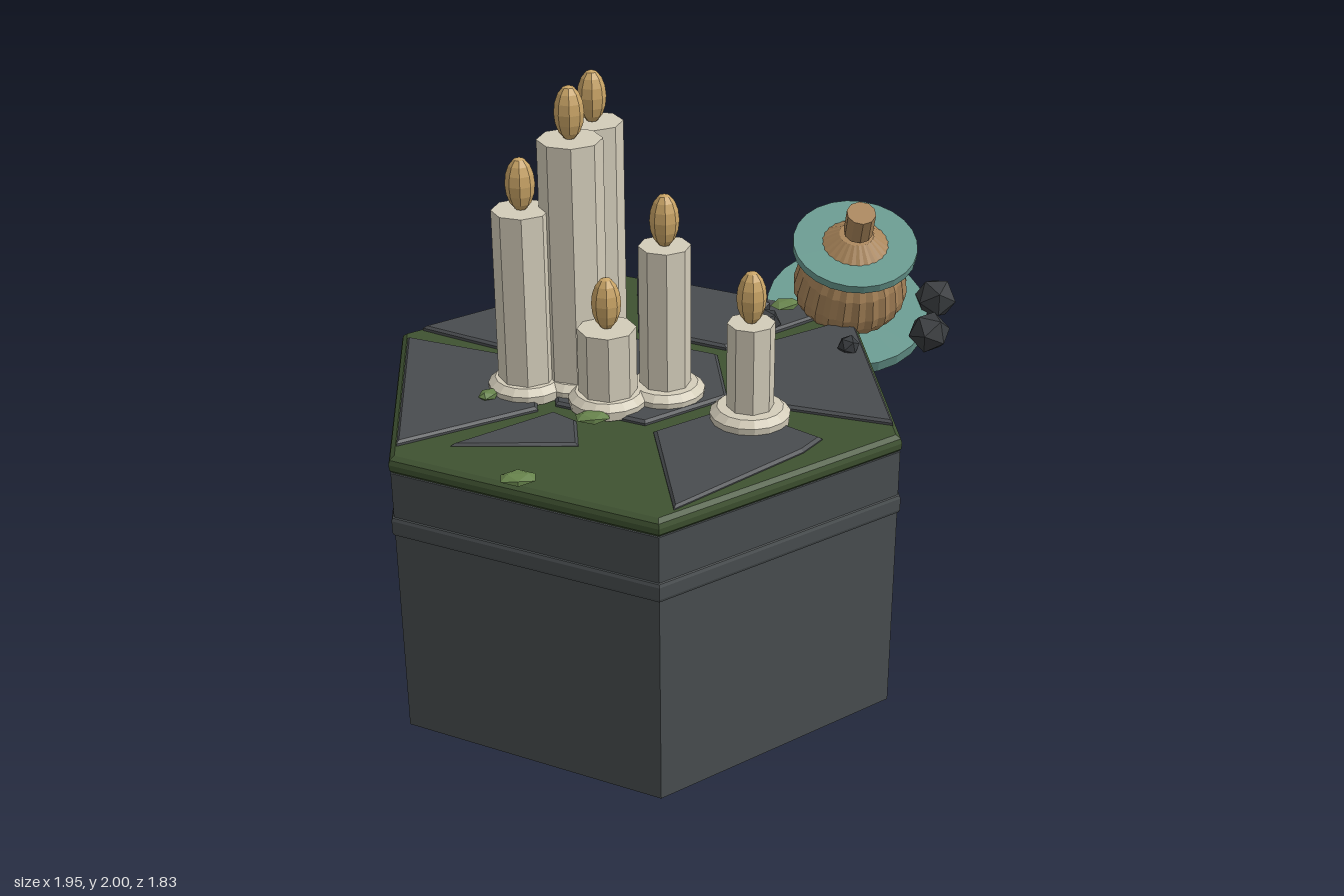
import * as THREE from 'three';

const mat = (name, color, extra = {}) => {
  const m = new THREE.MeshStandardMaterial({ color, flatShading: true, ...extra });
  m.name = name;
  return m;
};

export function createModel() {
  const root = new THREE.Group();
  const stone = mat('stone', 0x484d4f);
  const slate = mat('slate', 0x494c4f);
  const moss = mat('moss', 0x3f5231);
  const leafGreen = mat('leafGreen', 0x67834c);
  const wax = mat('wax', 0xd3ccb9);
  const flameGold = mat('flameGold', 0xc9a466);
  const brass = mat('brass', 0xa9855a);
  const teal = mat('teal', 0x699a90);
  const coal = mat('coal', 0x383b3e);

  const add = (parent, name, geo, material, x = 0, y = 0, z = 0) => {
    const mesh = new THREE.Mesh(geo, material);
    mesh.name = name;
    mesh.position.set(x, y, z);
    parent.add(mesh);
    return mesh;
  };
  const lathe = (pts, sides) =>
    new THREE.LatheGeometry(pts.map(p => new THREE.Vector2(...p)), sides);

  // Hexagonal plinth with a raised band
  const CX = -0.188;
  add(root, 'plinth', lathe([[0, 0], [0.907, 0], [0.907, 0.93], [0, 0.93]], 6), stone, CX);
  add(root, 'plinthBand', lathe([[0.9, 0.71], [0.912, 0.715], [0.916, 0.725], [0.916, 0.765],
    [0.912, 0.775], [0.9, 0.78]], 6), stone, CX);
  // Mossy slab with softened edges
  add(root, 'mossSlab', lathe([[0, 0.93], [0.9, 0.93], [0.91, 0.94], [0.912, 0.96],
    [0.907, 0.975], [0.89, 0.986], [0, 0.987]], 6), moss, CX);

  // Paving tiles, outlines as [x, z]
  const tile = (name, pts, top) => {
    const geo = new THREE.ExtrudeGeometry(
      new THREE.Shape(pts.map(([x, z]) => new THREE.Vector2(x, -z))),
      { depth: 0.03, bevelThickness: 0.008, bevelSize: 0.01, bevelOffset: -0.01, bevelSegments: 1 });
    geo.rotateX(-Math.PI / 2);
    add(root, name, geo, slate, 0, top - 0.038, 0);
  };
  const hex = [...Array(6)].map((_, i) => {
    const a = i * Math.PI / 3;
    return [CX + 0.318 * Math.sin(a), 0.318 * Math.cos(a)];
  });
  tile('centreTile', hex, 1.002);
  tile('rightTile', [[0.145, -0.18], [0.145, 0.2], [0.585, 0.385], [0.585, -0.41]], 1.002);
  tile('backRightTile', [[-0.14, -0.86], [0.52, -0.47], [0.12, -0.21], [-0.165, -0.38]], 1.004);
  tile('backLeftTile', [[-0.905, -0.465], [-0.235, -0.86], [-0.215, -0.37], [-0.52, -0.2]], 1.004);
  tile('leftTile', [[-0.955, -0.39], [-0.52, -0.17], [-0.52, 0.19], [-0.955, 0.385]], 1.002);
  tile('frontLeftTile', [[-0.79, 0.4], [-0.47, 0.2], [-0.4, 0.27], [-0.4, 0.435]], 0.995);
  tile('frontRightTile', [[-0.165, 0.37], [0.1, 0.22], [0.35, 0.46], [0.28, 0.54], [-0.14, 0.85]], 0.998);

  // Candles: x, z, radius, top
  [
    [-0.31, -0.26, 0.1, 1.795], [-0.548, 0.03, 0.094, 1.612], [-0.39, 0.015, 0.103, 1.832],
    [-0.295, 0.16, 0.094, 1.257], [-0.108, 0.115, 0.083, 1.51], [0.143, 0.31, 0.075, 1.325],
  ].forEach(([x, z, r, top]) => {
    const candle = new THREE.Group();
    candle.name = 'candle';
    candle.position.set(x, 0, z);
    root.add(candle);
    add(candle, 'candleStick', new THREE.CylinderGeometry(r, r, top - 0.99, 8), wax, 0, (top + 0.99) / 2);
    add(candle, 'waxPool', lathe([[0, 0.99], [0.125, 0.99], [0.128, 1.02],
      [0.105, 1.04], [0, 1.045]], 16), wax);
    add(candle, 'flame', new THREE.SphereGeometry(1, 8, 8), flameGold, 0, top + 0.083)
      .scale.set(0.047, 0.087, 0.047);
  });

  // Tilted pleated pot between two discs
  const pot = new THREE.Group();
  pot.name = 'pot';
  pot.position.set(0.59, 0.965, -0.55);
  pot.rotation.x = 0.38;
  root.add(pot);
  add(pot, 'lowerDisc', new THREE.CylinderGeometry(0.286, 0.286, 0.045, 24), teal);
  const body = lathe([[0, 0.02], [0.13, 0.02], [0.17, 0.05], [0.197, 0.1], [0.2, 0.14],
    [0.185, 0.22], [0.15, 0.29], [0.125, 0.325], [0.06, 0.375], [0, 0.38]], 48);
  const p = body.attributes.position;
  for (let i = 0; i < p.count; i++) {
    const pleat = Math.floor(i / 10) % 2 ? 0.965 : 1;
    p.setX(i, p.getX(i) * pleat);
    p.setZ(i, p.getZ(i) * pleat);
  }
  add(pot, 'potBody', body, brass);
  add(pot, 'upperDisc', new THREE.CylinderGeometry(0.215, 0.215, 0.03, 24), teal, 0, 0.318);
  add(pot, 'knob', new THREE.CylinderGeometry(0.05, 0.05, 0.1, 10), brass, 0, 0.452, 0.025)
    .rotation.x = 0.12;

  // Coal lumps: x, y, z, radius
  [
    [0.905, 1.01, -0.53, 0.076], [0.825, 1.01, -0.245, 0.073], [0.485, 1.01, -0.775, 0.065],
    [0.265, 1.015, -0.48, 0.05], [0.28, 1.015, -0.37, 0.05], [0.53, 1.015, -0.15, 0.038],
  ].forEach(([x, y, z, r], i) => {
    add(root, 'coalLump', new THREE.IcosahedronGeometry(r), coal, x, y, z).rotation.set(i, i * 0.7, 0);
  });

  // Flat moss tufts: x, z, turn
  [[-0.58, -0.38, 0.2], [-0.675, 0.105, 0.9], [-0.35, 0.29, 0.1], [-0.585, 0.665, 0],
    [0.36, -0.48, 0.6]].forEach(([x, z, turn], i) => {
    const s = i === 1 ? 0.04 : 0.06;
    const tuft = add(root, 'mossTuft', new THREE.IcosahedronGeometry(1), leafGreen, x, i === 4 ? 1.03 : 1.012, z);
    tuft.scale.set(s, 0.016, s * 0.75);
    tuft.rotation.y = turn;
  });

  return root;
}
